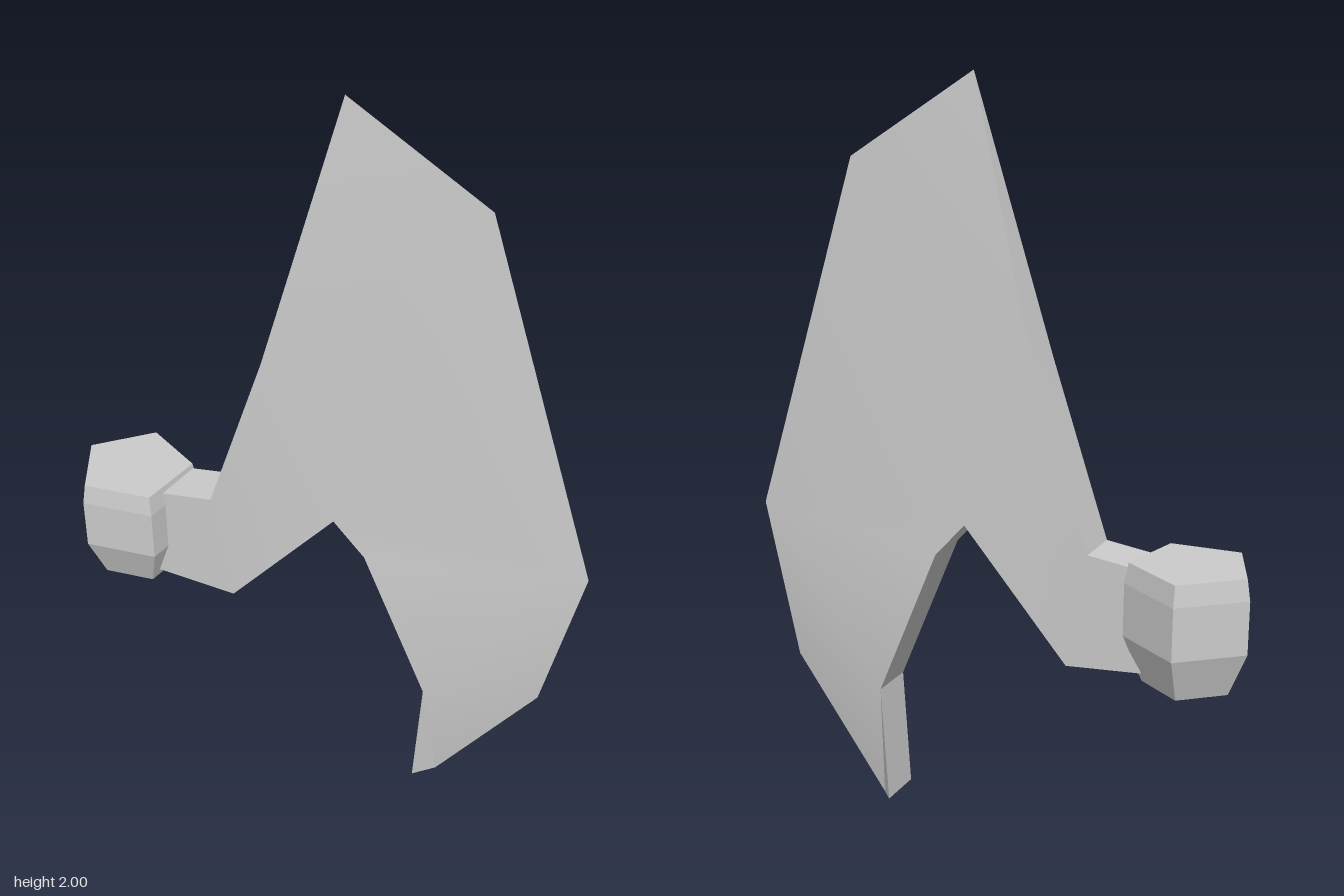
import * as THREE from 'three';
import { toCreasedNormals } from 'three/addons/utils/BufferGeometryUtils.js';

const MID_Z = 0.017;
const HALF = 0.063;

// Blade outline, counter-clockwise from the front: x, y, half thickness (0 = sharp edge)
const OUTLINE = [
  [-0.5, 0.555, HALF], [-0.24, 0.53, HALF], [0.05, 0.865, HALF], [0.135, 0.77, HALF],
  [0.31, 0.35, HALF], [0.29, 0.02, HALF], [0.34, 0, 0], [0.61, 0.375, 0],
  [0.705, 0.815, 0], [0.4, 1.78, 0], [0.05, 2, 0], [-0.14, 1.3, HALF],
  [-0.295, 0.84, HALF], [-0.5, 0.815, HALF],
];

// Cheek triangles running from the thick spine to the sharp edge
const CHEEK = [
  [0, 1, 12], [0, 12, 13], [1, 2, 12], [12, 2, 11], [11, 2, 9], [11, 9, 10],
  [2, 8, 9], [2, 3, 8], [3, 4, 8], [4, 7, 8], [4, 6, 7], [4, 5, 6],
];

function bladeGeometry() {
  const n = OUTLINE.length;
  const positions = [];
  for (const side of [1, -1]) {
    for (const [x, y, h] of OUTLINE) positions.push(x, y, MID_Z + side * h);
  }
  const index = [];
  for (const [a, b, c] of CHEEK) index.push(a, b, c, n + a, n + c, n + b);
  // Rim walls, which taper to nothing where the outline is sharp
  for (let i = 0; i < n; i++) {
    const j = (i + 1) % n;
    if (OUTLINE[i][2] > 0) index.push(i, n + i, j);
    if (OUTLINE[j][2] > 0) index.push(j, n + i, n + j);
  }
  const geometry = new THREE.BufferGeometry();
  geometry.setAttribute('position', new THREE.Float32BufferAttribute(positions, 3));
  geometry.setIndex(index);
  return toCreasedNormals(geometry, 0.35);
}

export function createModel() {
  const group = new THREE.Group();

  const blade = new THREE.Mesh(bladeGeometry(), new THREE.MeshStandardMaterial({ color: 0xcccccc }));
  blade.name = 'blade';
  group.add(blade);

  // Five-sided socket at the end of the arm, tapered at the top and bottom
  const R = 0.166;
  const profile = [[0, 0.525], [R * 0.7, 0.525], [R, 0.645], [R, 0.785], [R * 0.94, 0.84], [0, 0.84]]
    .map(([r, y]) => new THREE.Vector2(r, y));
  const socket = new THREE.Mesh(
    new THREE.LatheGeometry(profile, 5, THREE.MathUtils.degToRad(112)),
    new THREE.MeshStandardMaterial({ color: 0xcccccc, flatShading: true }),
  );
  socket.position.set(-0.55, 0, 0.01);
  socket.name = 'socket';
  group.add(socket);

  return group;
}
